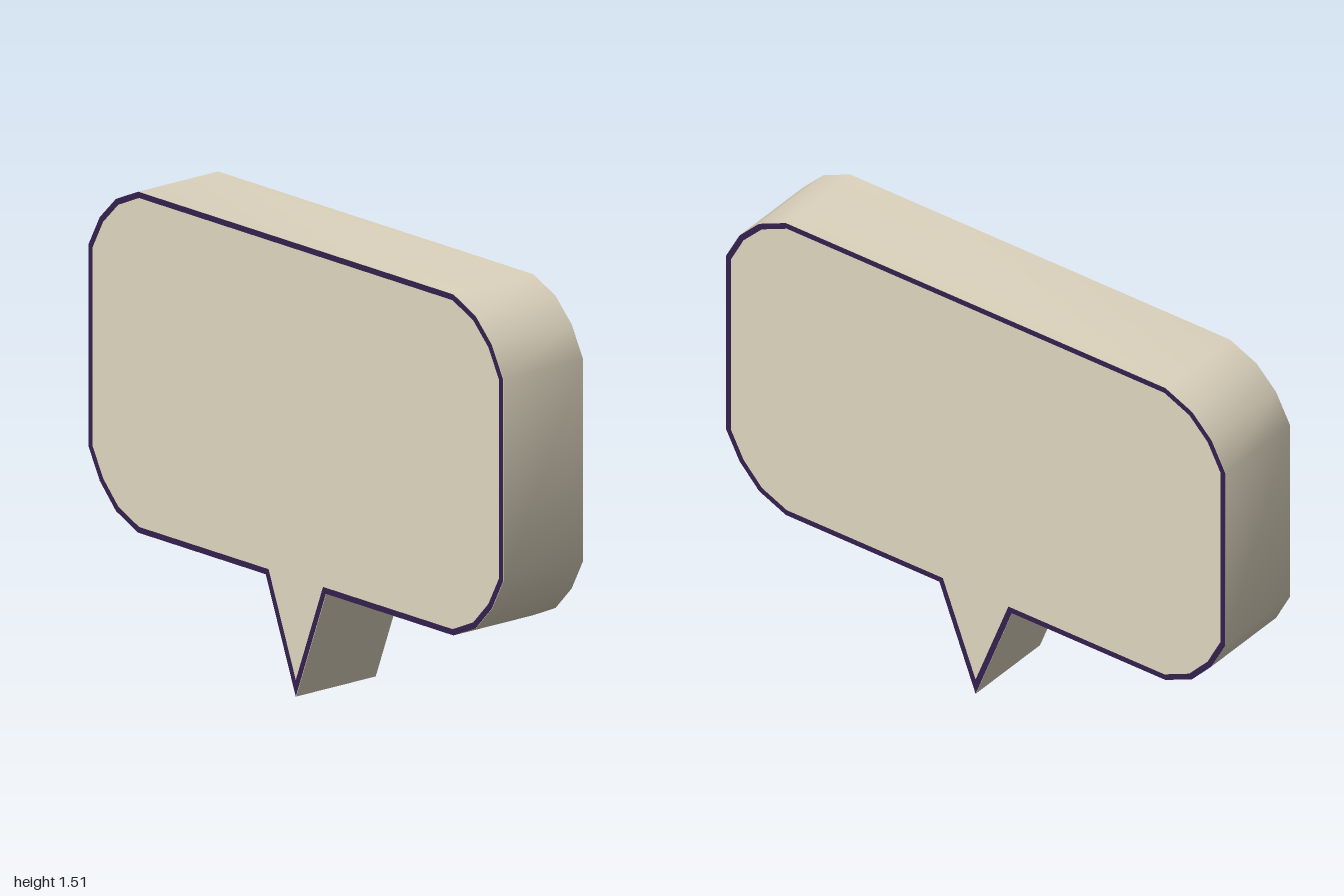
import * as THREE from 'three';
import { toCreasedNormals } from 'three/addons/utils/BufferGeometryUtils.js';

const HALF_DEPTH = 0.169;
const RIM = 0.02;

// Right half of the balloon outline, counter-clockwise from the tail tip
const half = [
  [0.145, 0.375], [0.76, 0.375], [0.867, 0.423], [0.945, 0.506], [1, 0.61],
  [1, 1.28], [0.945, 1.384], [0.867, 1.462], [0.76, 1.51],
];

function outlinePoints() {
  const right = half.map(([x, y]) => new THREE.Vector2(x, y));
  const left = half.map(([x, y]) => new THREE.Vector2(-x, y)).reverse();
  return [new THREE.Vector2(0, 0), ...right, ...left];
}

// Move every edge of a counter-clockwise outline inward by d, with mitred corners
function inset(points, d) {
  const n = points.length;
  return points.map((p, i) => {
    const a = p.clone().sub(points[(i + n - 1) % n]).normalize();
    const b = points[(i + 1) % n].clone().sub(p).normalize();
    const na = new THREE.Vector2(-a.y, a.x);
    const nb = new THREE.Vector2(-b.y, b.x);
    const miter = na.clone().add(nb);
    return p.clone().addScaledVector(miter, d / (1 + na.dot(nb)));
  });
}

export function createModel() {
  const group = new THREE.Group();
  group.name = 'speechBalloon';

  const cream = new THREE.MeshStandardMaterial({ color: 0xded5bf });
  cream.name = 'cream';
  const purple = new THREE.MeshStandardMaterial({ color: 0x33204d });
  purple.name = 'darkPurple';

  const outer = outlinePoints();

  // Thick balloon with tail, smooth round the corners and sharp elsewhere
  const bodyGeometry = new THREE.ExtrudeGeometry(new THREE.Shape(outer), {
    depth: HALF_DEPTH * 2, bevelEnabled: false,
  });
  bodyGeometry.translate(0, 0, -HALF_DEPTH);
  const body = new THREE.Mesh(toCreasedNormals(bodyGeometry, 0.7), cream);
  body.name = 'balloonBody';
  group.add(body);

  // Flat dark outline on the front and back faces
  const rimShape = new THREE.Shape(outer);
  rimShape.holes.push(new THREE.Path(inset(outer, RIM).reverse()));
  const rimGeometry = new THREE.ShapeGeometry(rimShape);
  for (const [name, side] of [['frontOutline', 1], ['backOutline', -1]]) {
    const rim = new THREE.Mesh(rimGeometry, purple);
    rim.name = name;
    rim.position.z = side * (HALF_DEPTH + 0.002);
    if (side < 0) rim.rotation.y = Math.PI;
    group.add(rim);
  }

  return group;
}
